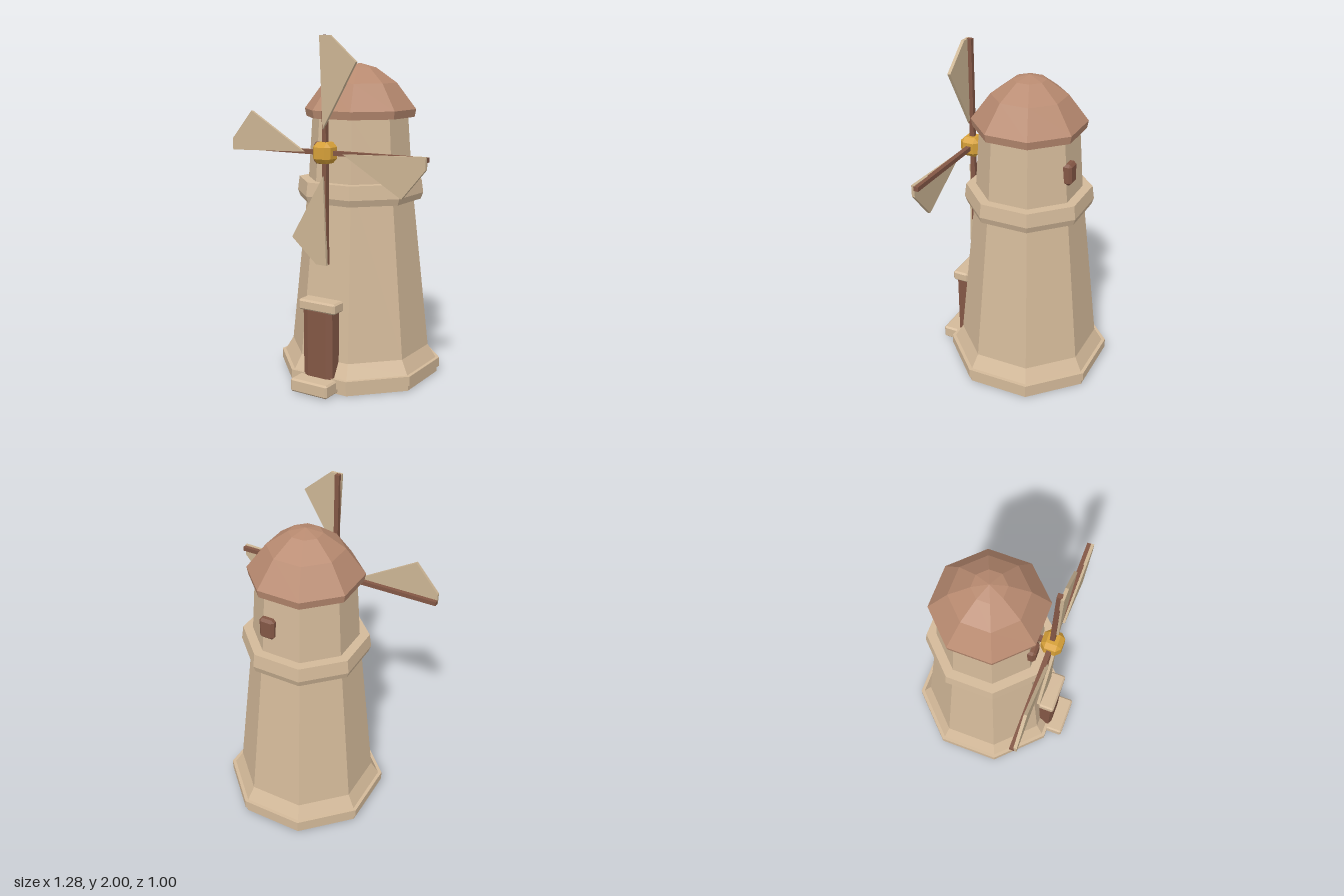
import * as THREE from 'three';
import { ConvexGeometry } from 'three/addons/geometries/ConvexGeometry.js';

const mat = (name, color) => Object.assign(new THREE.MeshStandardMaterial({ color }), { name });

export function createModel() {
  const stone = mat('stone', 0xd3b999);
  const canvas = mat('canvas', 0xccb594);
  const tile = mat('roof tile', 0xb88a70);
  const wood = mat('dark wood', 0x835745);
  const gold = mat('gold', 0xd6a038);
  const model = new THREE.Group();
  model.name = 'windmill';

  const add = (name, geometry, material, x = 0, y = 0, z = 0, parent = model) => {
    const mesh = new THREE.Mesh(geometry, material);
    mesh.name = name;
    mesh.position.set(x, y, z);
    parent.add(mesh);
    return mesh;
  };

  // Faceted octagonal solid from [apothem, y] pairs, flat sides facing the axes
  const octagon = (profile) => {
    const pts = profile.map(([r, y]) => new THREE.Vector2(r / Math.cos(Math.PI / 8), y));
    const g = new THREE.LatheGeometry(pts, 8, Math.PI / 8).toNonIndexed();
    g.computeVertexNormals();
    return g;
  };

  // Box with chamfered edges; bevel may differ per axis
  const chamferBox = (w, h, d, bx, by = bx, bz = bx) => {
    const [x, y, z] = [w / 2, h / 2, d / 2];
    const pts = [];
    for (const i of [-1, 1]) for (const j of [-1, 1]) for (const k of [-1, 1]) {
      pts.push(
        new THREE.Vector3(i * x, j * (y - by), k * (z - bz)),
        new THREE.Vector3(i * (x - bx), j * y, k * (z - bz)),
        new THREE.Vector3(i * (x - bx), j * (y - by), k * z));
    }
    return new ConvexGeometry(pts);
  };

  const cz = -0.05; // tower axis

  // Tower with stepped plinth
  add('tower', octagon([
    [0, 0], [0.436, 0], [0.436, 0.035], [0.45, 0.035], [0.45, 0.09], [0.43, 0.09],
    [0.385, 0.17], [0.285, 1.18], [0.262, 1.545], [0, 1.545],
  ]), stone, 0, 0, cz);

  // Collar around the tower
  add('collar', octagon([
    [0.28, 1.062], [0.335, 1.062], [0.348, 1.1], [0.338, 1.18], [0.27, 1.18],
  ]), stone, 0, 0, cz);

  // Domed roof
  add('roof', octagon([
    [0, 1.54], [0.296, 1.54], [0.304, 1.585], [0.2, 1.735], [0.088, 1.822], [0, 1.848],
  ]), tile, 0, 0, cz);

  // Door with lintel and step
  add('door', chamferBox(0.195, 0.4, 0.1, 0.036, 0.004, 0.015), wood, -0.002, 0.275, 0.361);
  add('lintel', chamferBox(0.245, 0.062, 0.1, 0.01), stone, -0.002, 0.5, 0.365);
  add('step', chamferBox(0.248, 0.078, 0.13, 0.01), stone, -0.002, 0.044, 0.435);

  // Windows, front and back, mirrored through the tower axis
  for (const [name, s] of [['frontWindow', 1], ['backWindow', -1]]) {
    add(name, chamferBox(0.09, 0.125, 0.07, 0.015), wood, -0.08 * s, 1.348, cz + 0.272 * s);
  }

  // Sails: hub, two crossed spars, four canvas blades
  const sails = new THREE.Group();
  sails.name = 'sails';
  sails.position.set(0, 1.362, 0.316);
  model.add(sails);
  add('hub', chamferBox(0.118, 0.118, 0.118, 0.027), gold, 0, 0, 0, sails);
  add('axle', new THREE.BoxGeometry(0.03, 0.03, 0.2), wood, 0, 0, -0.1, sails);

  const blade = new THREE.Shape([[0, 0.13], [0.215, 0.495], [0.05, 0.637], [-0.018, 0.637]]
    .map(([x, y]) => new THREE.Vector2(x, y)));
  const bladeGeometry = new THREE.ExtrudeGeometry(blade, { depth: 0.018, bevelEnabled: false });
  for (let i = 0; i < 4; i++) {
    const arm = new THREE.Group();
    arm.name = 'sailArm';
    arm.rotation.z = i * Math.PI / 2;
    sails.add(arm);
    add('spar', new THREE.BoxGeometry(0.026, 0.638, 0.028), wood, 0, 0.319, -0.003, arm);
    add('canvasBlade', bladeGeometry, canvas, 0, 0, 0.006, arm);
  }
  return model;
}
